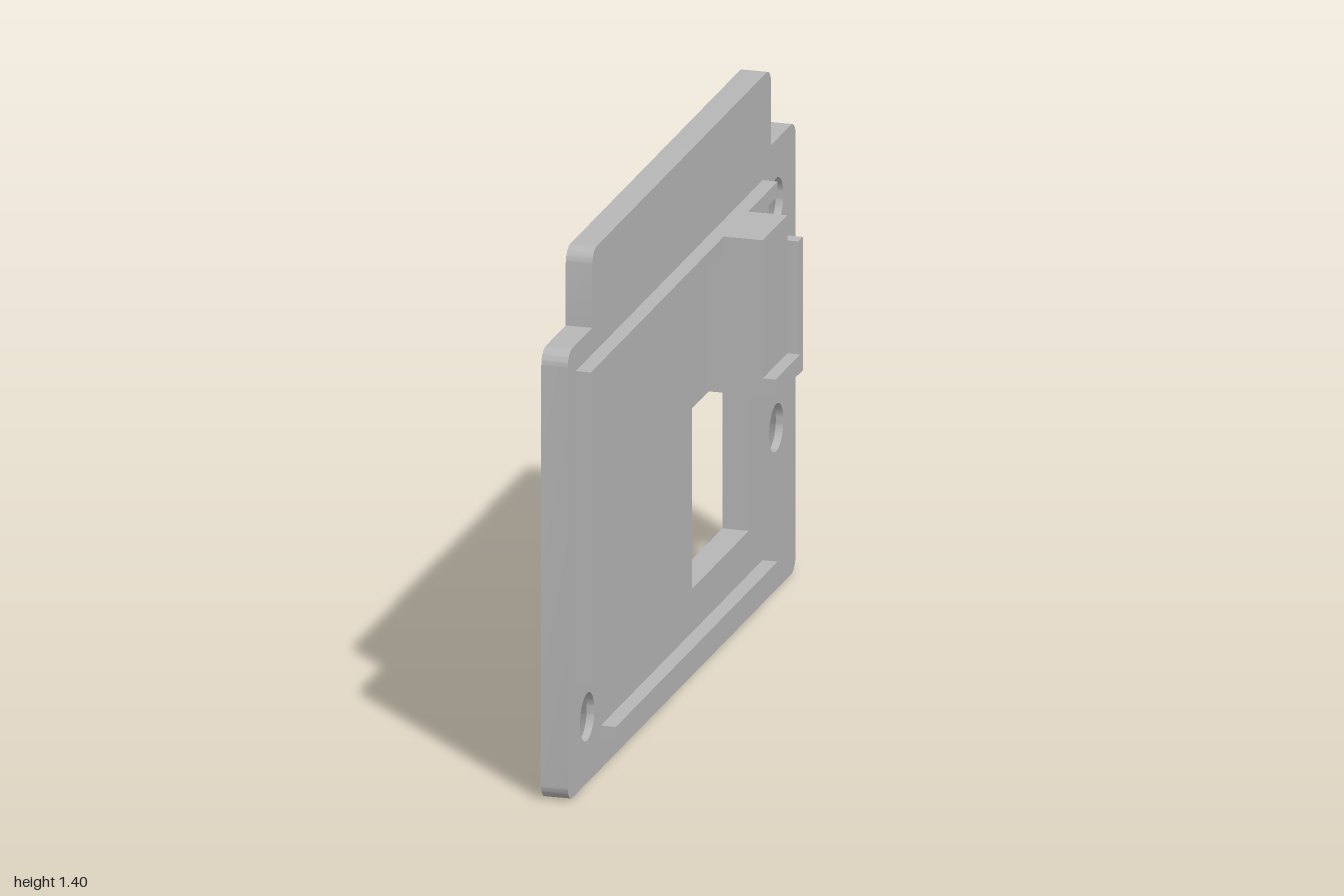
import * as THREE from 'three';
import { toCreasedNormals } from 'three/addons/utils/BufferGeometryUtils.js';

const BACK = -0.125, FACE = -0.055, RIB = -0.015;
const HOLES = [[0.83, 1.03], [0.83, 0.43], [-0.83, 0.175]];
const HOLE_R = 0.063, SINK_R = 0.12, SEG = 24;

// Shapes are drawn as (u, y) with u = -z, then turned to face +x
const place = (geo, x) => geo.rotateY(Math.PI / 2).translate(x, 0, 0);

const polygon = (pts) => new THREE.Shape(pts.map(([u, y]) => new THREE.Vector2(u, y)));
const rect = (u0, u1, y0, y1) => polygon([[u0, y0], [u1, y0], [u1, y1], [u0, y1]]);

// Plate outline with a raised tab, rounded outer corners and a square window
function plateShape(holeRadius) {
  const r = 0.04, H = 1.195, T = 1.4, W = 0.785, q = Math.PI / 2;
  const s = new THREE.Shape();
  s.moveTo(-1 + r, 0);
  s.lineTo(1 - r, 0);
  s.absarc(1 - r, r, r, -q, 0, false);
  s.lineTo(1, H - r);
  s.absarc(1 - r, H - r, r, 0, q, false);
  s.lineTo(W, H);
  s.lineTo(W, T - r);
  s.absarc(W - r, T - r, r, 0, q, false);
  s.lineTo(-W + r, T);
  s.absarc(-W + r, T - r, r, q, 2 * q, false);
  s.lineTo(-W, H);
  s.lineTo(-1 + r, H);
  s.absarc(-1 + r, H - r, r, q, 2 * q, false);
  s.lineTo(-1, r);
  s.absarc(-1 + r, r, r, 2 * q, 3 * q, false);
  s.holes.push(rect(0.09, 0.59, 0.23, 0.71));
  if (holeRadius) {
    for (const [u, y] of HOLES) {
      s.holes.push(new THREE.Path().absarc(u, y, holeRadius, 0, Math.PI * 2, true));
    }
  }
  return s;
}

// Side walls only of an extruded shape
function wallsOf(shape, depth) {
  const geo = new THREE.ExtrudeGeometry(shape, { depth, bevelEnabled: false, curveSegments: SEG / 4 });
  const side = geo.groups[1];
  const pos = geo.attributes.position.array.slice(side.start * 3, (side.start + side.count) * 3);
  const walls = new THREE.BufferGeometry();
  walls.setAttribute('position', new THREE.BufferAttribute(pos, 3));
  return toCreasedNormals(walls, 0.6);
}

export function createModel() {
  const model = new THREE.Group();
  model.name = 'coverPlate';
  const grey = new THREE.MeshStandardMaterial({ color: 0xb6b6b6 });
  grey.name = 'grey';

  const add = (name, geo, parent = model) => {
    const mesh = new THREE.Mesh(geo, grey);
    mesh.name = name;
    parent.add(mesh);
    return mesh;
  };
  const slab = (name, shape, x0, x1) =>
    add(name, place(new THREE.ExtrudeGeometry(shape, { depth: x1 - x0, bevelEnabled: false }), x0));

  // Plate: inner face, outer face with wider countersinks, and edge walls
  const plate = new THREE.Group();
  plate.name = 'plate';
  model.add(plate);
  add('innerFace', place(new THREE.ShapeGeometry(plateShape(HOLE_R), SEG), FACE), plate);
  const outer = place(new THREE.ShapeGeometry(plateShape(SINK_R), SEG), BACK);
  outer.index.array.reverse();
  outer.computeVertexNormals();
  add('outerFace', outer, plate);
  add('plateEdges', place(wallsOf(plateShape(0), FACE - BACK), BACK), plate);

  // Countersunk screw holes
  const sink = [[HOLE_R, FACE], [HOLE_R, FACE - 0.02], [SINK_R, BACK]]
    .map(([r, h]) => new THREE.Vector2(r, h));
  for (const [u, y] of HOLES) {
    const lining = toCreasedNormals(new THREE.LatheGeometry(sink, SEG * 2).toNonIndexed(), 0.5);
    add('screwHole', lining.rotateZ(-Math.PI / 2).translate(0, y, -u), plate);
  }

  // Locating ribs on the inner face
  slab('cornerRib', polygon([
    [-0.93, 0.295], [-0.89, 0.295], [-0.89, 1.085], [0.71, 1.085], [0.71, 1.125], [-0.93, 1.125],
  ]), FACE, RIB);
  slab('lowerRib', rect(-0.71, 0.71, 0.075, 0.115), FACE, RIB);
  slab('sideRib', rect(0.89, 0.93, 0.555, 0.91), FACE, RIB);

  // Block above the window, with a lip along its lower edge
  const profile = polygon([
    [FACE, 0.71], [0.122, 0.71], [0.122, 0.758], [0.088, 0.758], [0.088, 1.125], [FACE, 1.125],
  ]);
  const block = new THREE.ExtrudeGeometry(profile, { depth: 0.215, bevelEnabled: false });
  add('latchBlock', block.translate(0, 0, -0.452));

  return model;
}
